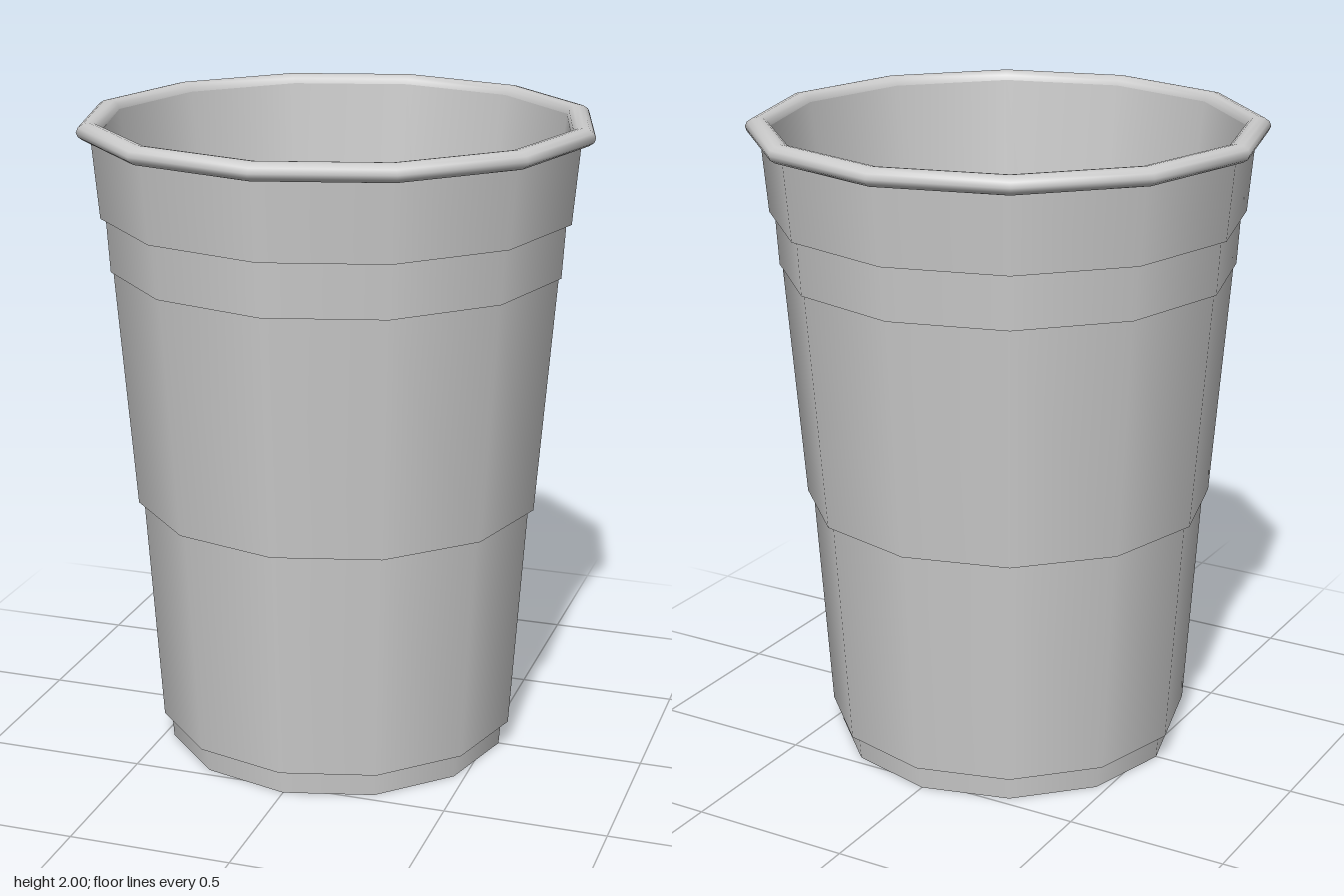
import * as THREE from 'three';

const SIDES = 12;

export function createModel() {
  const cup = new THREE.Group();
  cup.name = 'cup';
  const material = new THREE.MeshStandardMaterial({ color: 0xcccccc });

  // One smooth ring of surface; separate rings keep the edges between them sharp.
  const addRing = (name, profile) => {
    const points = profile.map(([r, y]) => new THREE.Vector2(r, y));
    const mesh = new THREE.Mesh(new THREE.LatheGeometry(points, SIDES), material);
    mesh.name = name;
    cup.add(mesh);
  };

  // Underside
  addRing('base', [[0, 0], [0.54, 0]]);

  // Stepped outer wall: each band overhangs the one below it
  const bands = [
    ['foot', [0.54, 0], [0.546, 0.08]],
    ['lowerWall', [0.569, 0.08], [0.616, 0.805]],
    ['middleWall', [0.633, 0.805], [0.69, 1.545]],
    ['upperBand', [0.698, 1.545], [0.708, 1.71]],
    ['collar', [0.724, 1.71], [0.745, 1.945]],
  ];
  bands.forEach(([name, low, high], i) => {
    if (i > 0) addRing(name + 'Ledge', [bands[i - 1][2], low]);
    addRing(name, [low, high]);
  });

  // Rolled lip
  addRing('rim', [
    [0.745, 1.945], [0.767, 1.947], [0.782, 1.957], [0.788, 1.971],
    [0.782, 1.986], [0.767, 1.996], [0.75, 2], [0.733, 1.997], [0.72, 1.987], [0.715, 1.972],
  ]);

  // Inside of the cup
  addRing('innerWall', [[0.715, 1.972], [0.5, 0.04]]);
  addRing('floor', [[0.5, 0.04], [0, 0.04]]);

  return cup;
}
